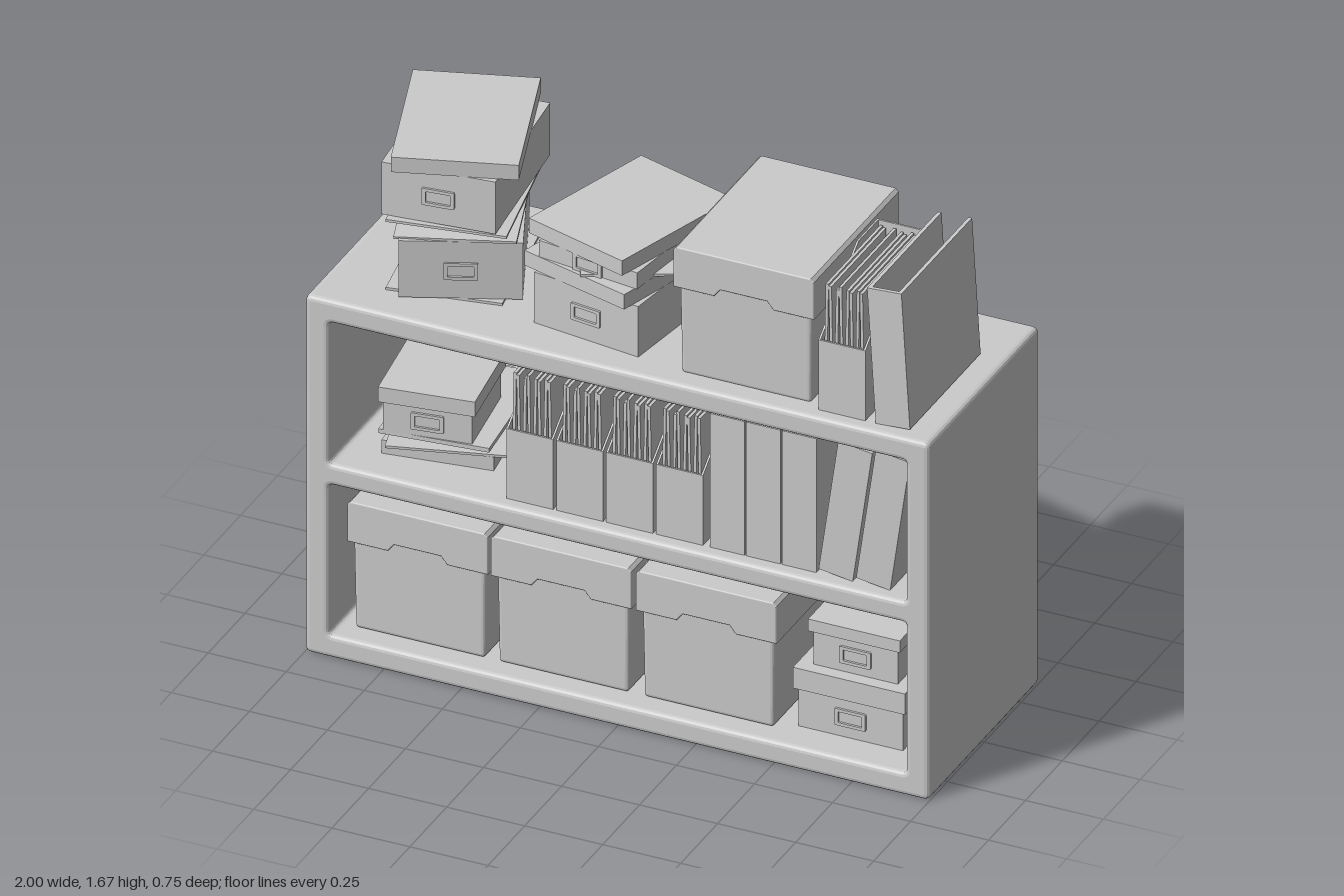
import * as THREE from 'three';
import { RoundedBoxGeometry } from 'three/addons/geometries/RoundedBoxGeometry.js';

const mat = new THREE.MeshStandardMaterial({ color: 0xcccccc });
const rad = THREE.MathUtils.degToRad;

function add(parent, name, geometry, x = 0, y = 0, z = 0) {
  const mesh = new THREE.Mesh(geometry, mat);
  mesh.name = name;
  mesh.position.set(x, y, z);
  parent.add(mesh);
  return mesh;
}

// Box standing on y
const block = (parent, name, w, h, d, x, y, z) =>
  add(parent, name, new THREE.BoxGeometry(w, h, d), x, y + h / 2, z);

function group(parent, name, x, y, z, yaw = 0, lean = 0) {
  const g = new THREE.Group();
  g.name = name;
  g.position.set(x, y, z);
  g.rotation.set(0, rad(yaw), rad(lean));
  parent.add(g);
  return g;
}

function roundedRect(path, x0, y0, x1, y1, r) {
  path.moveTo(x0 + r, y0);
  path.lineTo(x1 - r, y0).quadraticCurveTo(x1, y0, x1, y0 + r);
  path.lineTo(x1, y1 - r).quadraticCurveTo(x1, y1, x1 - r, y1);
  path.lineTo(x0 + r, y1).quadraticCurveTo(x0, y1, x0, y1 - r);
  path.lineTo(x0, y0 + r).quadraticCurveTo(x0, y0, x0 + r, y0);
  return path;
}

// Profile in x/y extruded through the depth, bevel kept inside the total depth
function extrude(shape, depth, bevel) {
  const geo = new THREE.ExtrudeGeometry(shape, {
    depth: depth - 2 * bevel, bevelEnabled: bevel > 0, bevelSize: bevel,
    bevelThickness: bevel, bevelOffset: -bevel, bevelSegments: 3, curveSegments: 4,
  });
  return geo.translate(0, 0, bevel - depth / 2);
}

// Open-backed cabinet with two bays
function addShelf(parent) {
  const shape = roundedRect(new THREE.Shape(), -1, 0, 1, 1.2, 0.02);
  for (const [y0, y1] of [[0.075, 0.58], [0.65, 1.125]])
    shape.holes.push(roundedRect(new THREE.Path(), -0.925, y0, 0.925, y1, 0.015));
  add(parent, 'shelfFrame', extrude(shape, 0.75, 0.015));
}

// Large storage box: tapered body and notched lid
function addStorageBox(parent, x, y, z) {
  const g = group(parent, 'storageBox', x, y, z);
  const body = new RoundedBoxGeometry(0.42, 0.36, 0.55, 2, 0.012);
  const p = body.attributes.position;
  for (let i = 0; i < p.count; i++) {
    const k = 1 + p.getY(i) * 0.06;
    p.setX(i, p.getX(i) * k);
    p.setZ(i, p.getZ(i) * k);
  }
  body.computeVertexNormals();
  add(g, 'boxBody', body, 0, 0.18, 0);
  const lid = new THREE.Shape([
    [-0.225, 0.295], [-0.095, 0.295], [-0.075, 0.32], [0.075, 0.32], [0.095, 0.295],
    [0.225, 0.295], [0.225, 0.42], [0.215, 0.43], [-0.215, 0.43], [-0.225, 0.42],
  ].map(([a, b]) => new THREE.Vector2(a, b)));
  add(g, 'boxLid', extrude(lid, 0.58, 0.004));
}

// Rectangular label holder on a front face
function addLabelFrame(parent, y, z) {
  const shape = roundedRect(new THREE.Shape(), -0.05, -0.028, 0.05, 0.028, 0.004);
  shape.holes.push(roundedRect(new THREE.Path(), -0.038, -0.018, 0.038, 0.018, 0.003));
  add(parent, 'labelFrame', extrude(shape, 0.008, 0), 0, y, z);
}

// Small box with separate lid turn
function addSmallBox(parent, { x, y, z, w, h, d, lid = 0.05, rim = 0.012, yaw = 0, lidYaw = yaw }) {
  const g = group(parent, 'smallBox', x, y, z, yaw);
  block(g, 'smallBoxBody', w, h - lid, d, 0, 0, 0);
  const top = block(g, 'smallBoxLid', w + rim * 2, lid, d + rim * 2, 0, h - lid, 0);
  top.rotation.y = rad(lidYaw - yaw);
  addLabelFrame(g, (h - lid) / 2, d / 2 + 0.003);
}

function addSheet(parent, x, y, z, w, d, yaw, tilt = 0, h = 0.008) {
  const s = block(parent, 'paperSheet', w, h, d, x, y, z);
  s.rotation.set(rad(tilt), rad(yaw), rad(tilt), 'YXZ');
}

// Magazine holder: low front, tall back, sloped sides, filled with sheets
function addMagazineHolder(parent, x, y) {
  const g = group(parent, 'magazineHolder', x, y, 0.13);
  const W = 0.15, H = 0.43, low = 0.235, D = 0.4, t = 0.006;
  block(g, 'holderFront', W, low, t, 0, 0, D / 2 - t / 2);
  block(g, 'holderBack', W, H, t, 0, 0, -D / 2 + t / 2);
  block(g, 'holderBase', W, t, D, 0, 0, 0);
  const side = new THREE.Shape([[-D / 2, 0], [D / 2, 0], [D / 2, H], [D / 2 - 0.14, H], [-D / 2, low]]
    .map(([a, b]) => new THREE.Vector2(a, b)));
  for (const s of [-1, 1])
    add(g, 'holderSide', extrude(side, t, 0).rotateY(Math.PI / 2), s * (W / 2 - t / 2), 0, 0);
  for (let i = 0; i < 8; i++) {
    const m = block(g, 'magazine', 0.009, H - 0.02 - (i % 3) * 0.006, D - 0.03, -0.058 + i * 0.0166, 0.01, 0);
    m.rotation.z = rad(i % 2 ? 1 : -1);
  }
}

// Binder: spine in front, covers open toward the back
function addBinder(parent, x, y, lean = 0) {
  const g = group(parent, 'binder', x, y, 0.09, 0, lean);
  const W = 0.11, H = 0.45, D = 0.48, t = 0.012;
  block(g, 'binderSpine', W, H, t, 0, 0, D / 2 - t / 2);
  for (const s of [-1, 1])
    block(g, 'binderCover', t, H, D, s * (W / 2 - t / 2), 0, 0);
}

export function createModel() {
  const model = new THREE.Group();
  model.name = 'shelfWithBoxes';
  addShelf(model);

  // Bottom bay
  for (const x of [-0.665, -0.205, 0.26]) addStorageBox(model, x, 0.075, 0.03);
  addSmallBox(model, { x: 0.695, y: 0.075, z: 0.055, w: 0.335, h: 0.2, d: 0.41, lid: 0.07 });
  addSmallBox(model, { x: 0.697, y: 0.275, z: 0.08, w: 0.27, h: 0.155, d: 0.3, lid: 0.04 });

  // Middle bay
  block(model, 'paperPile', 0.34, 0.045, 0.46, -0.675, 0.65, 0).rotation.y = rad(8);
  addSheet(model, -0.675, 0.698, 0, 0.36, 0.5, 15, 0.6);
  addSheet(model, -0.67, 0.725, 0.02, 0.34, 0.46, 6, 0, 0.014);
  addSmallBox(model, { x: -0.685, y: 0.739, z: 0.11, w: 0.27, h: 0.15, d: 0.28, yaw: 8 });
  for (let i = 0; i < 4; i++) addMagazineHolder(model, -0.3 + i * 0.16, 0.65);
  for (const x of [0.333, 0.448, 0.563]) addBinder(model, x, 0.65);
  addBinder(model, 0.68, 0.657, -8);
  addBinder(model, 0.8, 0.657, -8);

  // Left stack on top
  addSheet(model, -0.67, 1.2, -0.02, 0.35, 0.48, 10);
  addSmallBox(model, { x: -0.675, y: 1.208, z: -0.02, w: 0.36, h: 0.19, d: 0.5, lid: 0.006, rim: 0.001, yaw: 23 });
  addSheet(model, -0.67, 1.405, -0.02, 0.36, 0.5, 18, 1.5);
  addSheet(model, -0.67, 1.427, -0.02, 0.36, 0.5, 12, -1.5);
  addSmallBox(model, { x: -0.67, y: 1.445, z: -0.02, w: 0.35, h: 0.225, d: 0.48, yaw: 6, lidYaw: 18 });

  // Middle stack on top
  addSmallBox(model, { x: -0.12, y: 1.2, z: 0.02, w: 0.36, h: 0.22, d: 0.48, yaw: -8, lidYaw: -16 });
  addSheet(model, -0.12, 1.42, 0, 0.32, 0.46, 26);
  addSmallBox(model, { x: -0.12, y: 1.42, z: 0.02, w: 0.34, h: 0.105, d: 0.46, yaw: -8, lidYaw: -17 });

  // Right side of the top
  addStorageBox(model, 0.38, 1.195, 0.03);
  addMagazineHolder(model, 0.7, 1.2);
  addBinder(model, 0.863, 1.203, 3.5);
  return model;
}
